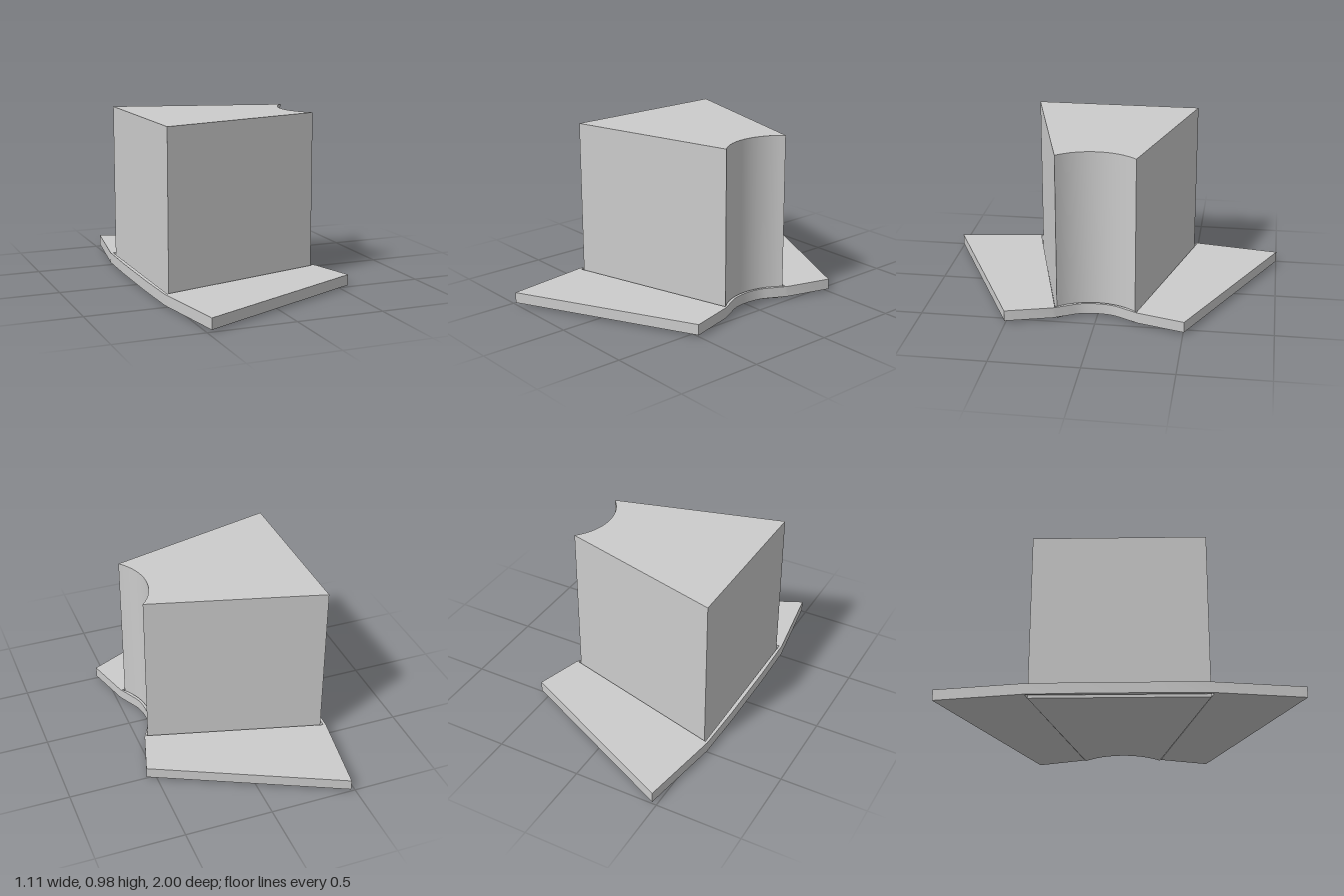
import * as THREE from 'three';
import { toCreasedNormals } from 'three/addons/utils/BufferGeometryUtils.js';

const v = (x, z) => new THREE.Vector2(x, z);

// Wedge outline with a concave circular front; mid is the deepest point of the hollow
function wedge(backX, backZ, frontX, frontZ, mid) {
  const depth = frontX - mid;
  const r = (frontZ * frontZ + depth * depth) / (2 * depth);
  const half = Math.asin(frontZ / r);
  const points = [v(backX, backZ), v(backX, -backZ)];
  for (let i = 0; i <= 16; i++) {
    const a = -half + (2 * half * i) / 16;
    points.push(v(mid + r - r * Math.cos(a), r * Math.sin(a)));
  }
  return points;
}

// Upright slab extruded from a plan outline
function slab(name, shape, y0, y1, material) {
  const geometry = new THREE.ExtrudeGeometry(shape, { depth: y1 - y0, bevelEnabled: false });
  geometry.rotateX(-Math.PI / 2);
  geometry.translate(0, y0, 0);
  const mesh = new THREE.Mesh(toCreasedNormals(geometry, 0.3), material);
  mesh.name = name;
  return mesh;
}

export function createModel() {
  const group = new THREE.Group();
  group.name = 'wedgeBlockOnPlate';
  const material = new THREE.MeshStandardMaterial({ color: 0xcccccc });

  // Tall wedge block, reaching slightly below the plate
  const block = new THREE.Shape(wedge(-0.522, 0.486, 0.455, 0.222, 0.365));
  group.add(slab('wedgeBlock', block, 0, 0.975, material));

  // Flared base plate, mirrored about z = 0, with a slot leaving a thin gap around the block
  const hollow = new THREE.SplineCurve([
    v(0.479, -0.24), v(0.44, -0.165), v(0.405, -0.09), v(0.394, 0),
    v(0.405, 0.09), v(0.44, 0.165), v(0.479, 0.24),
  ]).getPoints(24);
  const plate = new THREE.Shape([
    v(-0.557, 0.2), v(-0.557, -0.2), v(-0.55, -0.505), v(-0.475, -1), v(0.555, -0.505),
    ...hollow,
    v(0.555, 0.505), v(-0.475, 1), v(-0.55, 0.505),
  ]);
  plate.holes.push(new THREE.Path(wedge(-0.535, 0.5, 0.466, 0.232, 0.378).reverse()));
  group.add(slab('basePlate', plate, 0.012, 0.074, material));

  return group;
}
